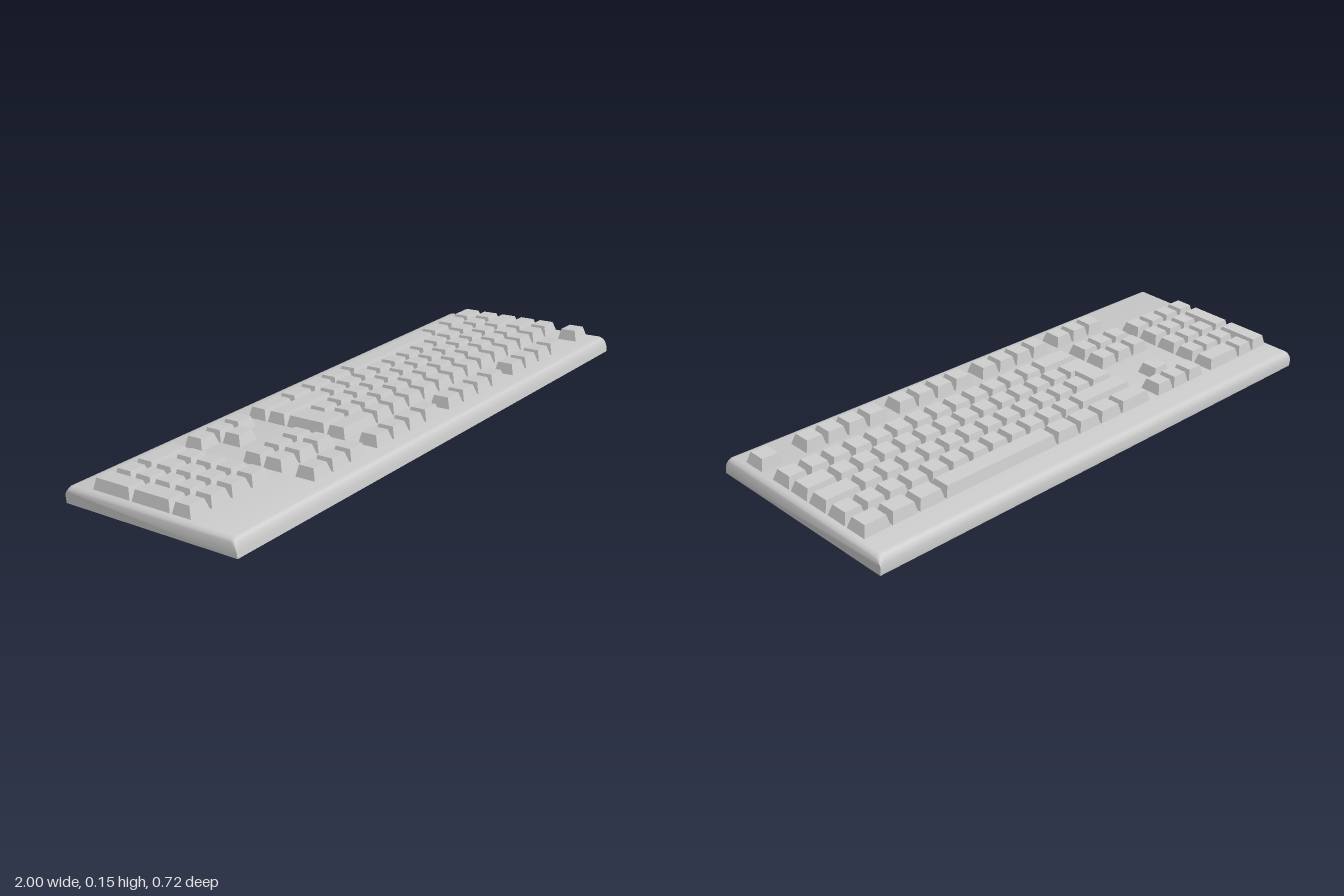
import * as THREE from 'three';
import { toCreasedNormals } from 'three/addons/utils/BufferGeometryUtils.js';

const material = new THREE.MeshStandardMaterial({ color: 0xcccccc });
const UNIT = 0.0848;      // key pitch
const LEFT = -0.976;      // edge of the key grid
const TILT = 0.0872;      // slope of the deck

function mesh(name, geometry) {
  const m = new THREE.Mesh(geometry, material);
  m.name = name;
  return m;
}

// Wedge-shaped case: one rounded side profile lofted along x, top edges eased at the ends
function caseGeometry() {
  const profile = [ // z, y, share of the end drop
    [0.36, 0.065, 0], [0.357, 0.088, 0.3], [0.352, 0.107, 0.7], [0.345, 0.117, 1], [0.333, 0.121, 1],
    [-0.335, 0.0625, 1], [-0.347, 0.059, 1], [-0.354, 0.05, 0.7], [-0.359, 0.035, 0.3], [-0.356, 0.003, 0],
  ];
  const sections = [[-1, 0.013], [-0.996, 0.006], [-0.985, 0], [0.985, 0], [0.996, 0.006], [1, 0.013]];
  const n = profile.length;
  const positions = [];
  const index = [];
  for (const [x, drop] of sections) {
    for (const [z, y, share] of profile) positions.push(x, y - drop * share, z);
  }
  for (let s = 0; s < sections.length - 1; s++) {
    for (let i = 0; i < n; i++) {
      const j = (i + 1) % n;
      const a = s * n, b = a + n;
      index.push(a + i, b + i, b + j, a + i, b + j, a + j);
    }
  }
  const end = (sections.length - 1) * n;
  for (let i = 1; i < n - 1; i++) index.push(0, i, i + 1, end, end + i + 1, end + i);
  const g = new THREE.BufferGeometry();
  g.setAttribute('position', new THREE.Float32BufferAttribute(positions, 3));
  g.setIndex(index);
  return toCreasedNormals(g, 0.7);
}

// Tapered keycap standing on the deck
function keyGeometry(width, depth) {
  const h = 0.038, inset = 0.01;
  const g = new THREE.BoxGeometry(width, h, depth).translate(0, h / 2, 0);
  const p = g.attributes.position;
  for (let i = 0; i < p.count; i++) {
    if (p.getY(i) > h / 2) {
      p.setX(i, p.getX(i) - Math.sign(p.getX(i)) * inset);
      p.setZ(i, p.getZ(i) - Math.sign(p.getZ(i)) * inset);
    }
  }
  const flat = g.toNonIndexed();
  flat.computeVertexNormals();
  return flat;
}

const repeat = (count, width = 1) => Array(count).fill(width);

// Key widths in units along x; negative numbers are gaps
const rows = [
  ['functionRow', 0.249, [-4.5, 1, 1, 1, -0.5, ...repeat(4), -0.5, ...repeat(4), -0.5, ...repeat(4), -1, 1]],
  ['numberRow', 0.118, [...repeat(4), -0.5, 1, 1, 1, -0.5, 2, ...repeat(13)]],
  ['upperRow', 0.033, [-1, 1, 1, 1, -0.5, 1, 1, 1, -0.5, -1.5, ...repeat(12), 1.5]],
  ['homeRow', -0.052, [-1, 1, 1, 1, -4, -1.25, ...repeat(12), 1.75]],
  ['lowerRow', -0.137, [-1, 1, 1, 1, -1.5, 1, -1.5, 3, ...repeat(12)]],
  ['spaceRow', -0.222, [-1, 1, 2, -0.5, 1, 1, 1, -0.5, 1.75, ...repeat(3, 1.25), 5.75, ...repeat(3, 1.25)]],
];

// Support foot: short bent flap splayed outwards
function footGeometry() {
  const s = new THREE.Shape([
    [0.835, 0.046], [0.865, 0.037], [0.922, 0.003], [0.934, 0.021], [0.88, 0.055], [0.835, 0.062],
  ].map(([x, y]) => new THREE.Vector2(x, y)));
  return new THREE.ExtrudeGeometry(s, { depth: 0.073, bevelEnabled: false }).translate(0, 0, 0.149);
}

export function createModel() {
  const model = new THREE.Group();
  model.name = 'keyboard';
  model.add(mesh('case', caseGeometry()));

  // Keys share the slope of the deck
  const keys = new THREE.Group();
  keys.name = 'keys';
  keys.position.y = 0.0912;
  keys.rotation.x = -TILT;
  model.add(keys);

  const addKey = (parent, name, start, width, z, depth = 1) => {
    const key = mesh(name, keyGeometry(width * UNIT - 0.006, depth * UNIT - 0.008));
    key.position.set(LEFT + (start + width / 2) * UNIT, 0, z);
    parent.add(key);
  };

  for (const [name, z, widths] of rows) {
    const row = new THREE.Group();
    row.name = name;
    let start = 0;
    for (const w of widths) {
      if (w > 0) addKey(row, w > 5 ? 'spaceBar' : 'key', start, w, z);
      start += Math.abs(w);
    }
    keys.add(row);
  }

  // Double-height keys of the number pad and the stepped return key
  addKey(keys, 'padEnterKey', 0, 1, -0.1795, 2);
  addKey(keys, 'padPlusKey', 0, 1, -0.0095, 2);
  addKey(keys, 'returnKey', 8, 1.25, -0.0095, 2);
  addKey(keys, 'returnKeyStep', 8, 1.5, 0.033);

  // Feet under the raised rear edge
  const leftFoot = mesh('leftFoot', footGeometry());
  const rightFoot = mesh('rightFoot', footGeometry());
  rightFoot.rotation.y = Math.PI;
  rightFoot.position.z = 2 * (0.149 + 0.0365);
  model.add(leftFoot, rightFoot);
  return model;
}
